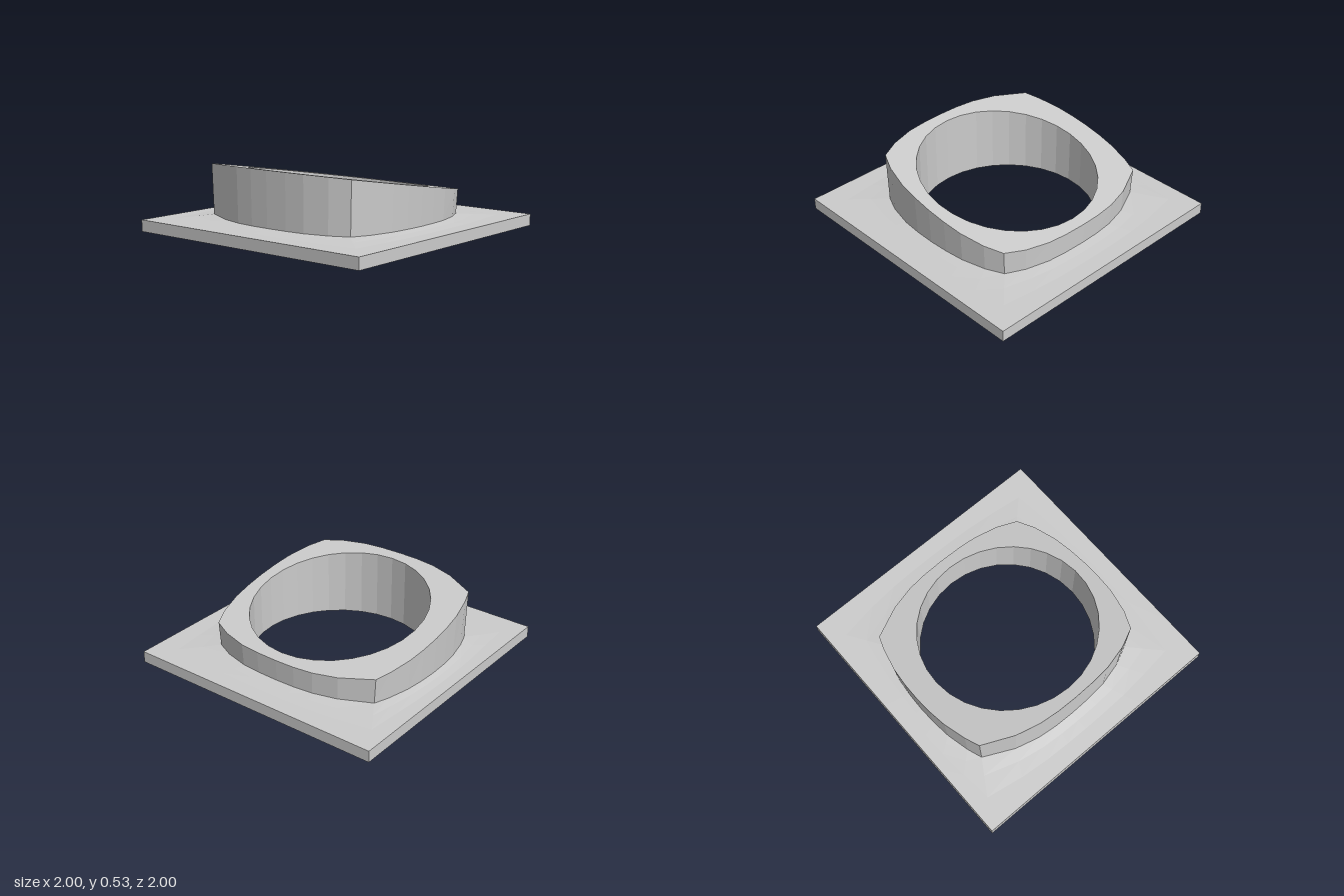
import * as THREE from 'three';

const N = 32;

// Half outline of the collar [x, z], from front middle over the left side to back middle
const HALF = [
  [0, 0.745], [0.15, 0.74], [0.3, 0.725], [0.48, 0.68], [0.61, 0.62],
  [0.675, 0.48], [0.72, 0.3], [0.733, 0.15], [0.737, -0.02], [0.733, -0.17],
  [0.717, -0.32], [0.67, -0.5], [0.56, -0.73], [0.45, -0.77], [0.28, -0.81],
  [0.14, -0.825], [0, -0.83],
];

const angle = (i) => (i / N) * Math.PI * 2;
const hole = (i) => [0.65 * Math.sin(angle(i)), 0.65 * Math.cos(angle(i))];
const square = (i) => {
  const s = Math.sin(angle(i)), c = Math.cos(angle(i));
  const m = Math.max(Math.abs(s), Math.abs(c));
  return [s / m, c / m];
};
const collarTop = (i) => (i <= N / 2 ? HALF[i] : [-HALF[N - i][0], HALF[N - i][1]]);
const collarBase = (i) => [collarTop(i)[0] * 0.993, collarTop(i)[1] * 0.983];

// Outline part way between two others
const blend = (a, b, t) => (i) => {
  const p = a(i), q = b(i);
  return [p[0] + (q[0] - p[0]) * t, p[1] + (q[1] - p[1]) * t];
};

// The collar is cut off by a plane falling towards +x
const slope = (x) => 0.41 - 0.163 * x;

// Skin a sequence of [outline, height] rings
function loft(name, rings, material) {
  const pos = [], idx = [];
  for (const [outline, height] of rings) {
    for (let i = 0; i < N; i++) {
      const [x, z] = outline(i);
      pos.push(x, typeof height === 'function' ? height(x) : height, z);
    }
  }
  for (let r = 0; r < rings.length - 1; r++) {
    for (let i = 0; i < N; i++) {
      const a = r * N + i, b = r * N + ((i + 1) % N);
      idx.push(a, b, b + N, a, b + N, a + N);
    }
  }
  const geometry = new THREE.BufferGeometry();
  geometry.setAttribute('position', new THREE.Float32BufferAttribute(pos, 3));
  geometry.setIndex(idx);
  geometry.computeVertexNormals();
  const mesh = new THREE.Mesh(geometry, material);
  mesh.name = name;
  return mesh;
}

export function createModel() {
  const material = new THREE.MeshStandardMaterial({ color: 0xcccccc, flatShading: true });
  const group = new THREE.Group();
  group.name = 'slantedCollarMount';

  // Square plate, swelling slightly around the opening on both faces
  group.add(loft('basePlate', [
    [hole, 0],
    [blend(hole, square, 0.2), 0.008],
    [blend(hole, square, 0.42), 0.022],
    [blend(hole, square, 0.63), 0.03],
    [square, 0.03],
    [square, 0.115],
    [blend(collarBase, square, 0.55), 0.115],
    [blend(collarBase, square, 0.25), 0.121],
    [collarBase, 0.13],
  ], material));

  // Four-cornered collar with a slanted rim and a round bore through the plate
  group.add(loft('collar', [
    [collarBase, 0.13],
    [collarTop, slope],
    [hole, slope],
    [hole, 0],
  ], material));

  return group;
}
